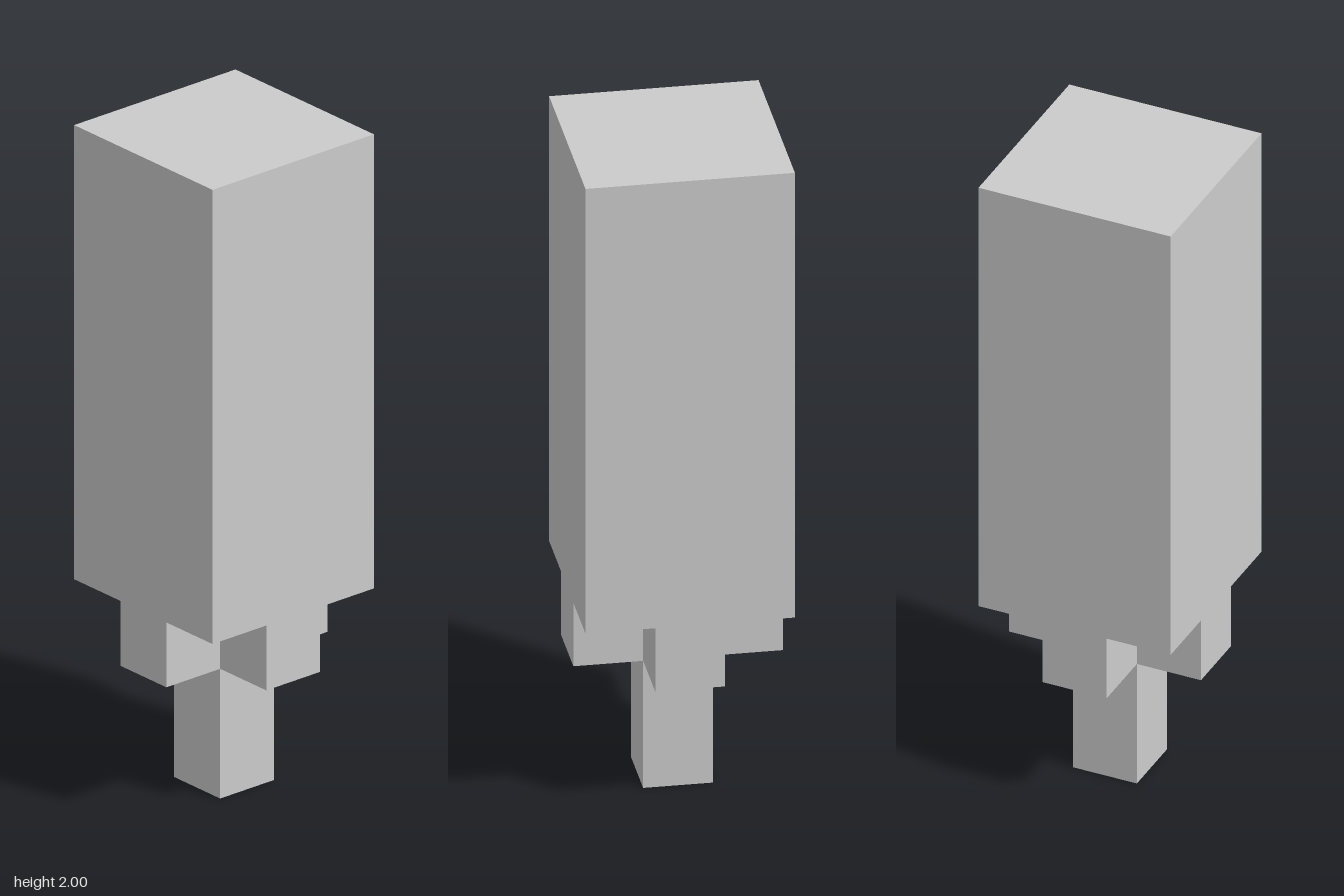
import * as THREE from 'three';

const material = new THREE.MeshStandardMaterial({ color: 0xcccccc, flatShading: true });

// Adds a named mesh whose base sits at height y
function addPart(group, name, geometry, y) {
  const mesh = new THREE.Mesh(geometry, material);
  mesh.name = name;
  mesh.position.y = y;
  group.add(mesh);
}

// Square block standing on its own base
function block(width, height) {
  return new THREE.BoxGeometry(width, height, width).translate(0, height / 2, 0);
}

// Plus-shaped slab: one notched corner, turned four times
function crossSlab(reach, half, height) {
  const points = [];
  for (let i = 0; i < 4; i++) {
    for (const [x, y] of [[reach, half], [half, half], [half, reach]]) {
      points.push(new THREE.Vector2(x, y).rotateAround(new THREE.Vector2(), i * Math.PI / 2));
    }
  }
  const geometry = new THREE.ExtrudeGeometry(new THREE.Shape(points), { depth: height, bevelEnabled: false });
  return geometry.rotateX(-Math.PI / 2);
}

export function createModel() {
  const group = new THREE.Group();
  group.name = 'steppedPillar';
  addPart(group, 'post', block(0.2, 0.4), 0);
  addPart(group, 'crossCollar', crossSlab(0.3, 0.1, 0.2), 0.4);
  addPart(group, 'body', block(0.6, 1.4), 0.6);
  return group;
}
